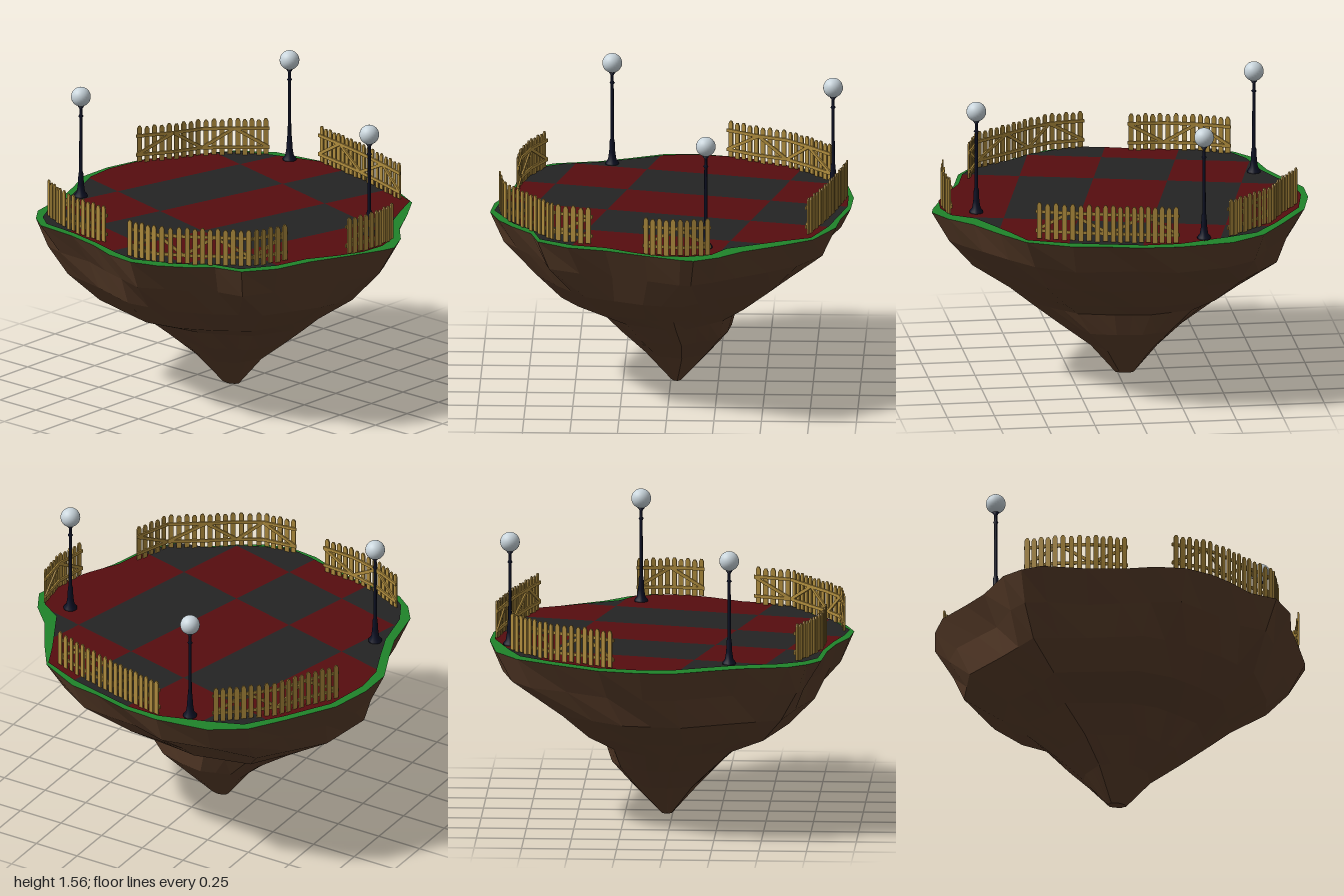
import * as THREE from 'three';
import { mergeGeometries } from 'three/addons/utils/BufferGeometryUtils.js';

const mat = (name, color, extra = {}) => {
  const m = new THREE.MeshStandardMaterial({ color, ...extra });
  m.name = name;
  return m;
};

// Island rim and tiled floor outlines as [x, z], clockwise from the back
const RIM = [
  [-0.21, -0.957], [0, -0.947], [0.19, -0.9], [0.35, -0.88], [0.58, -0.765], [0.7, -0.59], [0.815, -0.4], [0.93, -0.28],
  [1, -0.15], [0.985, -0.08], [0.91, 0.11], [0.82, 0.32], [0.77, 0.52], [0.66, 0.68], [0.51, 0.72], [0.375, 0.83],
  [0.26, 0.9], [0.115, 0.947], [-0.05, 0.93], [-0.21, 0.87], [-0.4, 0.83], [-0.635, 0.81], [-0.73, 0.74], [-0.805, 0.64],
  [-0.853, 0.4], [-0.917, 0.24], [-1, 0.055], [-1, -0.13], [-0.95, -0.35], [-0.8, -0.6], [-0.675, -0.79], [-0.495, -0.91],
];
const FLOOR = [
  [-0.21, -0.93], [-0.02, -0.93], [0.2, -0.88], [0.365, -0.84], [0.575, -0.755], [0.645, -0.6], [0.79, -0.32], [0.91, -0.24],
  [0.95, -0.11], [0.94, 0.03], [0.885, 0.16], [0.795, 0.32], [0.75, 0.5], [0.645, 0.67], [0.485, 0.71], [0.35, 0.82],
  [0.11, 0.925], [-0.035, 0.9], [-0.21, 0.85], [-0.4, 0.81], [-0.61, 0.79], [-0.7, 0.72], [-0.77, 0.59], [-0.815, 0.375],
  [-0.88, 0.215], [-0.95, 0.055], [-0.965, -0.11], [-0.92, -0.35], [-0.77, -0.6], [-0.64, -0.775], [-0.48, -0.84],
];
const RIM_Y = 0.947, FLOOR_Y = 0.956;

// Extents of each rock ring: [y, xMin, xMax, zMin, zMax]
const RINGS = [
  [RIM_Y, -1, 1, -0.957, 0.947], [0.785, -0.95, 0.94, -0.88, 0.87], [0.625, -0.87, 0.8, -0.7, 0.77],
  [0.485, -0.67, 0.6, -0.52, 0.62], [0.4, -0.53, 0.46, -0.37, 0.4], [0.28, -0.36, 0.31, -0.32, 0.28],
  [0.16, -0.22, 0.15, -0.22, 0.15], [0, -0.09, 0.01, -0.06, 0],
];

function flatPlate(points, y) {
  const shape = new THREE.Shape(points.map(([x, z]) => new THREE.Vector2(x, -z)));
  return new THREE.ShapeGeometry(shape).rotateX(-Math.PI / 2).translate(0, y, 0);
}

// Faceted rock: the rim outline fitted into each ring, with slight roughness
function rockGeometry() {
  let seed = 7;
  const rand = () => (seed = (seed * 16807) % 2147483647) / 2147483647;
  const n = RIM.length;
  const rings = RINGS.map(([y, x0, x1, z0, z1], r) => {
    const ring = RIM.map(([x, z]) => {
      const k = r > 0 && r < 7 ? 1.01 - 0.06 * rand() : 1;
      const u = (x * k + 1) / 2, v = (z * k + 0.957) / 1.904;
      return new THREE.Vector3(x0 + (x1 - x0) * u, y, z0 + (z1 - z0) * v);
    });
    // wider facets below the rim
    if (r > 1) for (let i = 1; i < n; i += 2) ring[i].lerpVectors(ring[i - 1], ring[(i + 1) % n], 0.5);
    return ring;
  });
  const pts = [];
  for (let r = 0; r < rings.length - 1; r++) {
    for (let i = 0; i < n; i++) {
      const j = (i + 1) % n;
      const [a, b, c, d] = [rings[r][i], rings[r][j], rings[r + 1][i], rings[r + 1][j]];
      pts.push(a, b, c, b, d, c);
    }
  }
  const last = rings[rings.length - 1], centre = new THREE.Vector3(-0.04, 0, -0.03);
  for (let i = 0; i < n; i++) pts.push(centre, last[i], last[(i + 1) % n]);
  const geo = new THREE.BufferGeometry().setFromPoints(pts);
  geo.computeVertexNormals();
  return geo;
}

// Keep the part of a polygon where sign * (p[axis] - limit) >= 0
function clip(poly, axis, limit, sign) {
  const out = [];
  poly.forEach((p, i) => {
    const q = poly[(i + 1) % poly.length];
    const dp = sign * (p[axis] - limit), dq = sign * (q[axis] - limit);
    if (dp >= 0) out.push(p);
    if (dp * dq < 0) {
      const t = dp / (dp - dq);
      out.push([p[0] + (q[0] - p[0]) * t, p[1] + (q[1] - p[1]) * t]);
    }
  });
  return out;
}

// Checkered floor, cut from the outline along a turned grid
function addFloor(group, black, red) {
  const ox = -0.495, oz = -0.615, cell = 0.391, angle = 0.2417;
  const c = Math.cos(angle), s = Math.sin(angle);
  const toGrid = ([x, z]) => [((x - ox) * c + (z - oz) * s) / cell, ((z - oz) * c - (x - ox) * s) / cell];
  const toWorld = ([u, v]) => [ox + (u * c - v * s) * cell, oz + (u * s + v * c) * cell];
  const cols = [-9, 0, 1, 2, 3, 9], rows = [-9, 0, 2, 3, 9];
  const outline = FLOOR.map(toGrid);
  for (let i = 0; i < 5; i++) {
    for (let j = 0; j < 4; j++) {
      let p = clip(clip(outline, 0, cols[i], 1), 0, cols[i + 1], -1);
      p = clip(clip(p, 1, rows[j], 1), 1, rows[j + 1], -1);
      if (p.length < 3) continue;
      const dark = (i + j) % 2 === 0;
      const tile = new THREE.Mesh(flatPlate(p.map(toWorld), FLOOR_Y), dark ? black : red);
      tile.name = dark ? 'blackTile' : 'redTile';
      group.add(tile);
    }
  }
}

// Picket fence along a path: pickets, two rails and a diagonal brace per panel
function fenceGeometry(path) {
  const parts = [];
  const w = 0.013, h = 0.197;
  const picketShape = new THREE.Shape([[-w, 0], [w, 0], [w, h - 0.014], [w * 0.45, h], [-w * 0.45, h], [-w, h - 0.014]]
    .map(([x, y]) => new THREE.Vector2(x, y)));
  const picket = new THREE.ExtrudeGeometry(picketShape, { depth: 0.008, bevelEnabled: false }).toNonIndexed();
  for (let k = 0; k < path.length - 1; k++) {
    const [x0, z0] = path[k], [x1, z1] = path[k + 1];
    const len = Math.hypot(x1 - x0, z1 - z0);
    const panel = [];
    const count = Math.max(2, Math.round(len / 0.04));
    for (let i = 0; i < count; i++) {
      panel.push(picket.clone().translate(((i + 0.5) / count) * len, (i % 2) * -0.006, 0));
    }
    const bar = (length, angle, y) => new THREE.BoxGeometry(length, 0.017, 0.008)
      .rotateZ(angle).translate(len / 2, y, -0.004).toNonIndexed();
    panel.push(bar(len, 0, 0.04), bar(len, 0, 0.145));
    const slope = Math.atan2(0.105, len) * (k % 2 ? -1 : 1);
    panel.push(bar(Math.hypot(len, 0.105) * 0.95, slope, 0.0925));
    parts.push(...panel.map((g) => g.rotateY(-Math.atan2(z1 - z0, x1 - x0)).translate(x0, 0.96, z0)));
  }
  return mergeGeometries(parts);
}

export function createModel() {
  const model = new THREE.Group();
  model.name = 'floatingIsland';
  const rock = mat('rockBrown', 0x5c3f2b, { flatShading: true });
  const grass = mat('grassGreen', 0x1f842a);
  const black = mat('tileBlack', 0x242424);
  const red = mat('tileRed', 0x560d0f);
  const wood = mat('fenceWood', 0xb08d3e);
  const iron = mat('lampIron', 0x0c1024);
  const glass = mat('lampGlass', 0xc9d5dc);
  const add = (name, geo, material, parent = model) => {
    const mesh = new THREE.Mesh(geo, material);
    mesh.name = name;
    parent.add(mesh);
    return mesh;
  };

  add('rock', rockGeometry(), rock);
  add('grassRim', flatPlate(RIM, RIM_Y), grass);
  const floor = new THREE.Group();
  floor.name = 'checkeredFloor';
  addFloor(floor, black, red);
  model.add(floor);

  // Fences around the edge, each run left to right as seen from outside
  const fences = {
    backFence: [[0.53, -0.73], [0.36, -0.785], [0.15, -0.845], [-0.03, -0.885], [-0.21, -0.92]],
    backRightFence: [[-0.48, -0.83], [-0.62, -0.71], [-0.74, -0.59], [-0.81, -0.44], [-0.92, -0.27]],
    leftFence: [[0.9, 0.12], [0.935, -0.06], [0.91, -0.24]],
    frontLeftFence: [[0.05, 0.895], [0.24, 0.87], [0.36, 0.8], [0.49, 0.705], [0.66, 0.59], [0.73, 0.39]],
    frontRightFence: [[-0.7, 0.675], [-0.53, 0.755], [-0.36, 0.8], [-0.17, 0.81]],
  };
  for (const [name, path] of Object.entries(fences)) add(name, fenceGeometry(path), wood);

  // Street lamps: turned post with a globe
  const profile = [[0, 0], [0.036, 0], [0.036, 0.012], [0.022, 0.03], [0.016, 0.07], [0.013, 0.13], [0.0095, 0.14],
    [0.008, 0.44], [0.014, 0.448], [0.008, 0.456], [0.008, 0.49], [0.018, 0.505], [0, 0.51]]
    .map(([r, y]) => new THREE.Vector2(r, y));
  const post = new THREE.LatheGeometry(profile, 14);
  const globe = new THREE.SphereGeometry(0.052, 24, 16);
  [[-0.35, -0.843], [0.772, -0.208], [-0.775, 0.332]].forEach(([x, z]) => {
    const lamp = new THREE.Group();
    lamp.name = 'streetLamp';
    lamp.position.set(x, 0.953, z);
    add('lampPost', post, iron, lamp);
    add('lampGlobe', globe, glass, lamp).position.y = 0.556;
    model.add(lamp);
  });
  return model;
}
